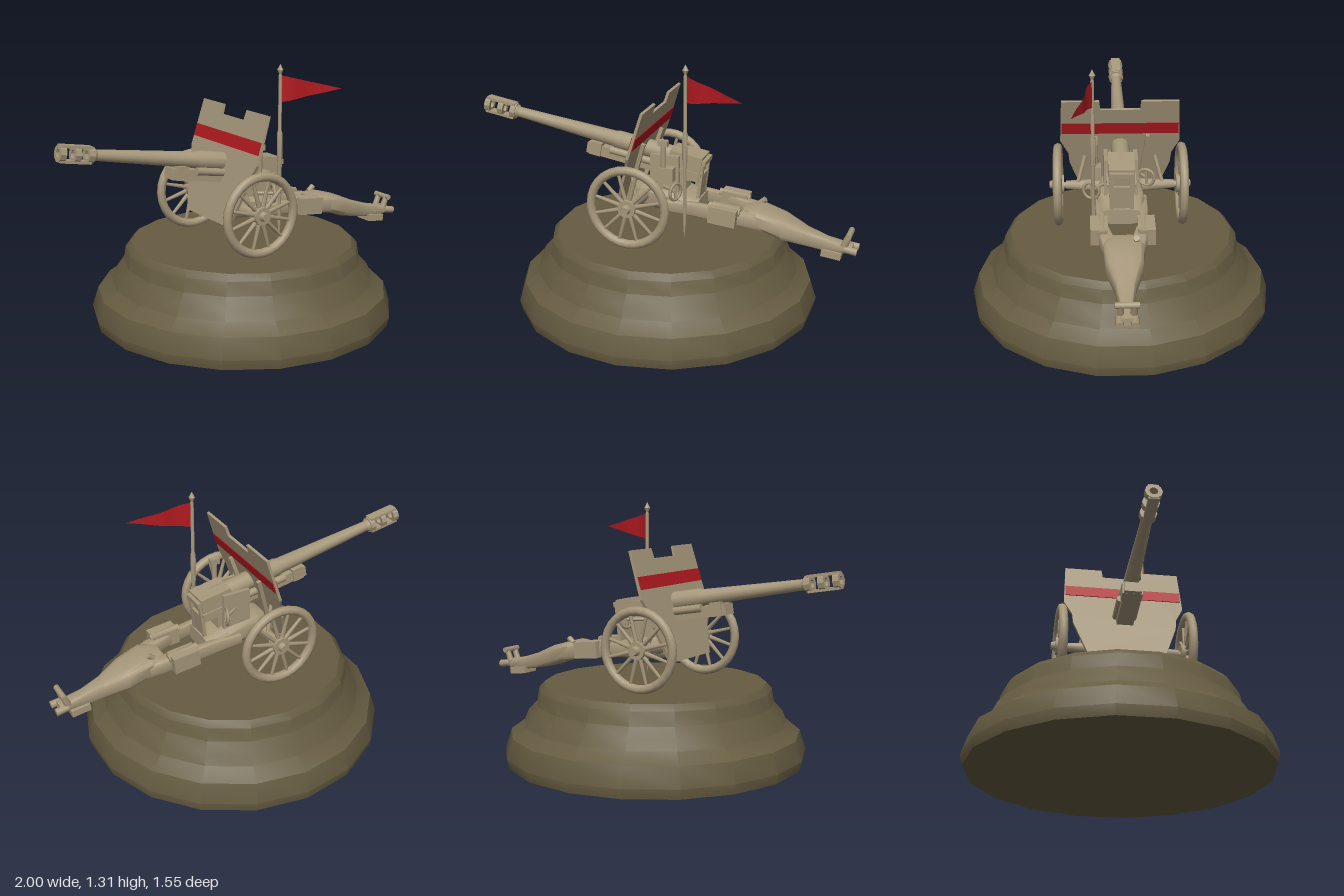
import * as THREE from 'three';
import { toCreasedNormals } from 'three/addons/utils/BufferGeometryUtils.js';

export function createModel() {
  const root = new THREE.Group();
  root.name = 'fieldGunOnPlinth';
  const paint = (name, color, side = THREE.FrontSide) => {
    const m = new THREE.MeshStandardMaterial({ color, side });
    m.name = name;
    return m;
  };
  const olive = paint('plinthOlive', 0x665c41);
  const tan = paint('gunTan', 0xa6977a, THREE.DoubleSide);
  const red = paint('bannerRed', 0xb01a20, THREE.DoubleSide);

  const add = (parent, name, geo, mat, x = 0, y = 0, z = 0) => {
    const m = new THREE.Mesh(geo, mat);
    m.name = name;
    m.position.set(x, y, z);
    parent.add(m);
    return m;
  };
  const box = (parent, name, w, h, d, x, y, z, tilt = 0) => {
    const m = add(parent, name, new THREE.BoxGeometry(w, h, d), tan, x, y, z);
    m.rotation.z = tilt;
    return m;
  };
  const lathe = (pts, n) => toCreasedNormals(
    new THREE.LatheGeometry(pts.map(p => new THREE.Vector2(p[0], p[1])), n), 0.6);
  // cylinder between two points
  const rod = (parent, name, a, b, r, r2 = r, n = 8) => {
    const from = new THREE.Vector3(...a), to = new THREE.Vector3(...b);
    const dir = to.clone().sub(from);
    const m = add(parent, name, new THREE.CylinderGeometry(r2, r, dir.length(), n), tan);
    m.position.copy(from).add(to).multiplyScalar(0.5);
    m.quaternion.setFromUnitVectors(new THREE.Vector3(0, 1, 0), dir.normalize());
    return m;
  };
  // rounded-box beam along x; each section is [x, y, z, height, width]
  const beam = (sections) => {
    const n = 12, pos = [];
    const pt = (s, j) => {
      const a = (j + 0.5) / n * Math.PI * 2, c = Math.cos(a), d = Math.sin(a);
      const q = v => Math.sign(v) * Math.sqrt(Math.abs(v)) / 2;
      return [s[0], s[1] + q(c) * s[3], s[2] + q(d) * s[4]];
    };
    const last = sections.length - 1;
    for (let j = 0; j < n; j++) {
      for (let i = 0; i < last; i++) {
        const a = pt(sections[i], j), b = pt(sections[i], j + 1);
        const c = pt(sections[i + 1], j), d = pt(sections[i + 1], j + 1);
        pos.push(...a, ...b, ...c, ...b, ...d, ...c);
      }
      const s = sections[0], e = sections[last];
      pos.push(...s.slice(0, 3), ...pt(s, j + 1), ...pt(s, j));
      pos.push(...e.slice(0, 3), ...pt(e, j), ...pt(e, j + 1));
    }
    const g = new THREE.BufferGeometry();
    g.setAttribute('position', new THREE.Float32BufferAttribute(pos, 3));
    return toCreasedNormals(g, 0.7);
  };

  // stepped round plinth
  add(root, 'plinth', lathe([[0, 0], [0.765, 0], [0.777, 0.05], [0.745, 0.15], [0.675, 0.2],
    [0.655, 0.25], [0.61, 0.3], [0.598, 0.37], [0.57, 0.4], [0, 0.4]], 18), olive, 0.01, 0, 0);

  // barrel group: origin at the breech, muzzle towards local -x
  const gun = new THREE.Group();
  gun.name = 'gunBarrelAssembly';
  gun.position.set(0.12, 0.785, 0);
  gun.rotation.z = -0.168;
  root.add(gun);
  const alongBarrel = (name, pts, n = 14) => {
    const m = add(gun, name, lathe(pts, n), tan);
    m.rotation.z = Math.PI / 2;
  };
  alongBarrel('barrel', [[0, 0], [0.047, 0], [0.047, 0.38], [0.041, 0.4], [0.027, 0.94],
    [0.034, 0.95], [0.034, 0.965], [0, 0.965]]);
  for (const l of [0.955, 1.025, 1.1])
    alongBarrel('muzzleBrakeCollar', [[0.02, l], [0.041, l], [0.041, l + 0.03],
      [0.02, l + 0.03], [0.02, l]], 10);
  for (const s of [-1, 1]) box(gun, 'muzzleBrakeBar', 0.16, 0.014, 0.05, -1.045, s * 0.035, 0);
  box(gun, 'cradle', 0.56, 0.055, 0.085, -0.25, -0.072, 0);
  box(gun, 'cradleNose', 0.06, 0.07, 0.1, -0.48, -0.065, 0);
  for (const s of [-1, 1])
    rod(gun, 'recoilCylinder', [-0.4, -0.05, s * 0.042], [0.0, -0.05, s * 0.042], 0.02);
  box(gun, 'breechBlock', 0.17, 0.13, 0.13, 0, -0.02, 0);

  // sloping shield
  const shield = new THREE.Group();
  shield.name = 'shield';
  shield.position.set(-0.195, 0.54, 0);
  shield.rotation.z = -0.3;
  root.add(shield);
  const half = [[0.1, 0.525], [0.105, 0.576], [0.295, 0.576], [0.305, 0.33], [0.265, 0.25],
    [0.26, 0.19], [0.195, 0]];
  const outline = [...half, ...half.map(([z, y]) => [-z, y]).reverse()];
  const plate = new THREE.ExtrudeGeometry(
    new THREE.Shape(outline.map(p => new THREE.Vector2(p[0], p[1]))),
    { depth: 0.014, bevelEnabled: false });
  plate.rotateY(-Math.PI / 2);
  add(shield, 'shieldPlate', plate, tan, 0.007, 0, 0);
  for (const s of [-1, 1]) {
    add(shield, 'shieldStripe', new THREE.BoxGeometry(0.004, 0.064, 0.592), red, s * 0.009, 0.41, 0);
    const brace = box(shield, 'shieldBrace', 0.02, 0.34, 0.018, 0.017, 0.2, s * 0.12);
    brace.rotation.x = s * 0.12;
  }

  // wheels and axle
  for (const s of [-1, 1]) {
    const wheel = new THREE.Group();
    wheel.name = s > 0 ? 'leftWheel' : 'rightWheel';
    wheel.position.set(-0.09, 0.613, s * 0.32);
    root.add(wheel);
    add(wheel, 'tyre', new THREE.TorusGeometry(0.192, 0.023, 8, 28), tan);
    rod(wheel, 'hub', [0, 0, -s * 0.03], [0, 0, s * 0.022], 0.05, 0.045, 12);
    rod(wheel, 'hubCap', [0, 0, s * 0.02], [0, 0, s * 0.045], 0.026, 0.018, 10);
    for (let i = 0; i < 12; i++) {
      const a = (i + 0.5) * Math.PI / 6, c = Math.cos(a), d = Math.sin(a);
      rod(wheel, 'spoke', [c * 0.035, d * 0.035, 0], [c * 0.18, d * 0.18, 0], 0.012, 0.008, 6);
    }
    rod(root, 'axleSleeve', [-0.09, 0.605, s * 0.1], [-0.09, 0.61, s * 0.28], 0.036, 0.022, 10);
    rod(root, 'shieldStay', [-0.08, 0.62, s * 0.22], [-0.12, 0.76, s * 0.18], 0.01);
  }
  rod(root, 'axle', [-0.09, 0.608, -0.31], [-0.09, 0.608, 0.31], 0.018);

  // carriage, saddle and breech guard
  add(root, 'lowerCarriage', beam([[-0.17, 0.6, 0, 0.07, 0.12], [-0.1, 0.6, 0, 0.12, 0.22],
    [0.08, 0.58, 0, 0.12, 0.24], [0.2, 0.56, 0, 0.08, 0.2]]), tan);
  box(root, 'saddle', 0.17, 0.16, 0.12, 0.03, 0.69, 0);
  for (const s of [-1, 1]) {
    box(root, 'saddleCheek', 0.15, 0.2, 0.02, 0.02, 0.72, s * 0.075);
    box(root, 'breechGuardRail', 0.018, 0.2, 0.02, 0.2, 0.7, s * 0.05, -0.12);
    box(root, 'guardArm', 0.15, 0.018, 0.016, 0.13, 0.74, s * 0.065, -0.17);
  }
  box(root, 'breechGuardTop', 0.03, 0.025, 0.12, 0.212, 0.79, 0, -0.12);
  box(root, 'breechGuardPlate', 0.016, 0.12, 0.09, 0.195, 0.665, 0, -0.12);

  // aiming gear
  box(root, 'sightBox', 0.07, 0.07, 0.05, 0.05, 0.74, 0.125);
  rod(root, 'sightTube', [0.03, 0.76, 0.13], [0.03, 0.9, 0.13], 0.014);
  box(root, 'sightHead', 0.05, 0.03, 0.03, 0.03, 0.9, 0.13);
  for (const [y, z] of [[0.73, -0.125], [0.66, 0.15]]) {
    const hand = add(root, 'handwheel', new THREE.TorusGeometry(0.042, 0.008, 6, 16), tan, 0.1, y, z);
    hand.rotation.y = Math.PI / 2.6;
    rod(root, 'handwheelShaft', [0.1, y, z], [0.02, y, z * 0.6], 0.009);
    rod(root, 'handwheelBar', [0.1, y - 0.04, z], [0.1, y + 0.04, z], 0.006);
  }

  // split trail legs joining into one tail
  for (const s of [-1, 1]) {
    add(root, 'trailLeg', beam([[0.02, 0.57, s * 0.11, 0.06, 0.05], [0.18, 0.565, s * 0.11, 0.07, 0.045],
      [0.3, 0.55, s * 0.1, 0.075, 0.05], [0.45, 0.53, s * 0.075, 0.08, 0.08],
      [0.6, 0.495, s * 0.035, 0.07, 0.08]]), tan);
    box(root, 'trailLocker', 0.14, 0.085, 0.085, 0.34, 0.555, s * 0.115, -0.1);
    rod(root, 'lockerRoll', [0.26, 0.59, s * 0.1], [0.42, 0.57, s * 0.1], 0.022);
    rod(root, 'spadePin', [0.93, 0.43, s * 0.03], [0.955, 0.495, s * 0.032], 0.018, 0.014);
    rod(root, 'towLug', [0.93, 0.42, s * 0.035], [0.995, 0.41, s * 0.035], 0.018, 0.02);
  }
  add(root, 'trailTail', beam([[0.42, 0.53, 0, 0.08, 0.16], [0.5, 0.53, 0, 0.1, 0.2],
    [0.62, 0.49, 0, 0.11, 0.18], [0.74, 0.45, 0, 0.085, 0.1], [0.84, 0.425, 0, 0.07, 0.07],
    [0.93, 0.415, 0, 0.05, 0.07], [0.97, 0.415, 0, 0.04, 0.06]]), tan);
  box(root, 'spade', 0.1, 0.035, 0.1, 0.87, 0.384, 0, -0.12);
  rod(root, 'spadeCrossbar', [0.952, 0.49, -0.055], [0.952, 0.49, 0.055], 0.015);
  rod(root, 'trailHandle', [0.48, 0.57, -0.06], [0.51, 0.595, -0.06], 0.015);

  // flagpole with pennant
  add(root, 'flagpole', lathe([[0, 0.41], [0.009, 0.5], [0.01, 0.8], [0.014, 0.83], [0.014, 0.96],
    [0.009, 0.98], [0.009, 1.25], [0.006, 1.26], [0.016, 1.28], [0, 1.31]], 8), tan, 0.145, 0, 0.14);
  const flag = new THREE.PlaneGeometry(1, 1, 8, 4);
  const p = flag.attributes.position;
  for (let i = 0; i < p.count; i++) {
    const t = p.getX(i) + 0.5, v = p.getY(i);
    p.setXYZ(i, 0.15 + t * 0.305, 1.185 - t * 0.012 + v * 0.135 * (1 - t),
      0.14 + t * 0.1 + 0.012 * Math.sin(t * 9) * (1 - t));
  }
  flag.computeVertexNormals();
  add(root, 'pennant', flag, red);
  return root;
}
